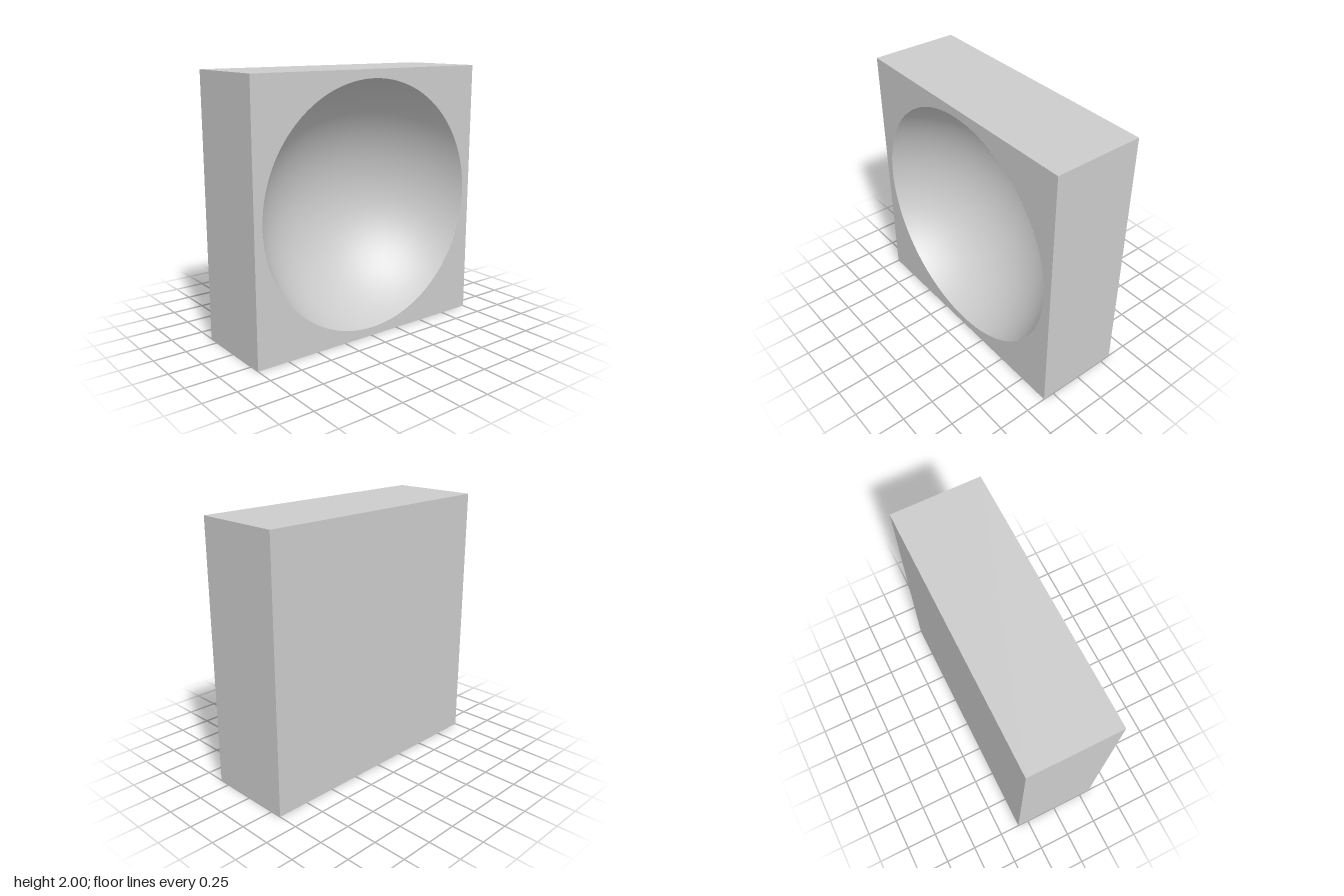
import * as THREE from 'three';

const SIZE = 2, HALF_DEPTH = 0.34;   // square block
const RIM = 0.935, SPHERE = 1;       // spherical hollow: rim radius and sphere radius

export function createModel() {
  const group = new THREE.Group();
  const material = new THREE.MeshStandardMaterial({ color: 0xcccccc, side: THREE.DoubleSide });
  const add = (name, geometry) => {
    const mesh = new THREE.Mesh(geometry, material);
    mesh.name = name;
    mesh.position.y = SIZE / 2;
    group.add(mesh);
  };

  // Back and four sides of the block
  const h = SIZE / 2;
  add('backFace', new THREE.PlaneGeometry(SIZE, SIZE).rotateY(Math.PI).translate(0, 0, -HALF_DEPTH));
  ['rightSide', 'topSide', 'leftSide', 'bottomSide'].forEach((name, i) => {
    add(name, new THREE.PlaneGeometry(2 * HALF_DEPTH, SIZE)
      .rotateY(-Math.PI / 2).translate(-h, 0, 0).rotateZ(-i * Math.PI / 2));
  });

  // Front face with a round opening
  const front = new THREE.Shape([[-h, -h], [h, -h], [h, h], [-h, h]].map(([x, y]) => new THREE.Vector2(x, y)));
  front.holes.push(new THREE.Path().absarc(0, 0, RIM, 0, 2 * Math.PI, true));
  add('frontFace', new THREE.ShapeGeometry(front, 96).translate(0, 0, HALF_DEPTH));

  // Spherical hollow, turned from the rim down to its deepest point
  const rimAngle = Math.asin(RIM / SPHERE);
  const centre = HALF_DEPTH + SPHERE * Math.cos(rimAngle);
  const profile = [];
  for (let i = 0; i <= 40; i++) {
    const a = rimAngle * (1 - i / 40);
    profile.push(new THREE.Vector2(SPHERE * Math.sin(a), centre - SPHERE * Math.cos(a)));
  }
  add('hollow', new THREE.LatheGeometry(profile, 96).rotateX(Math.PI / 2));

  return group;
}
